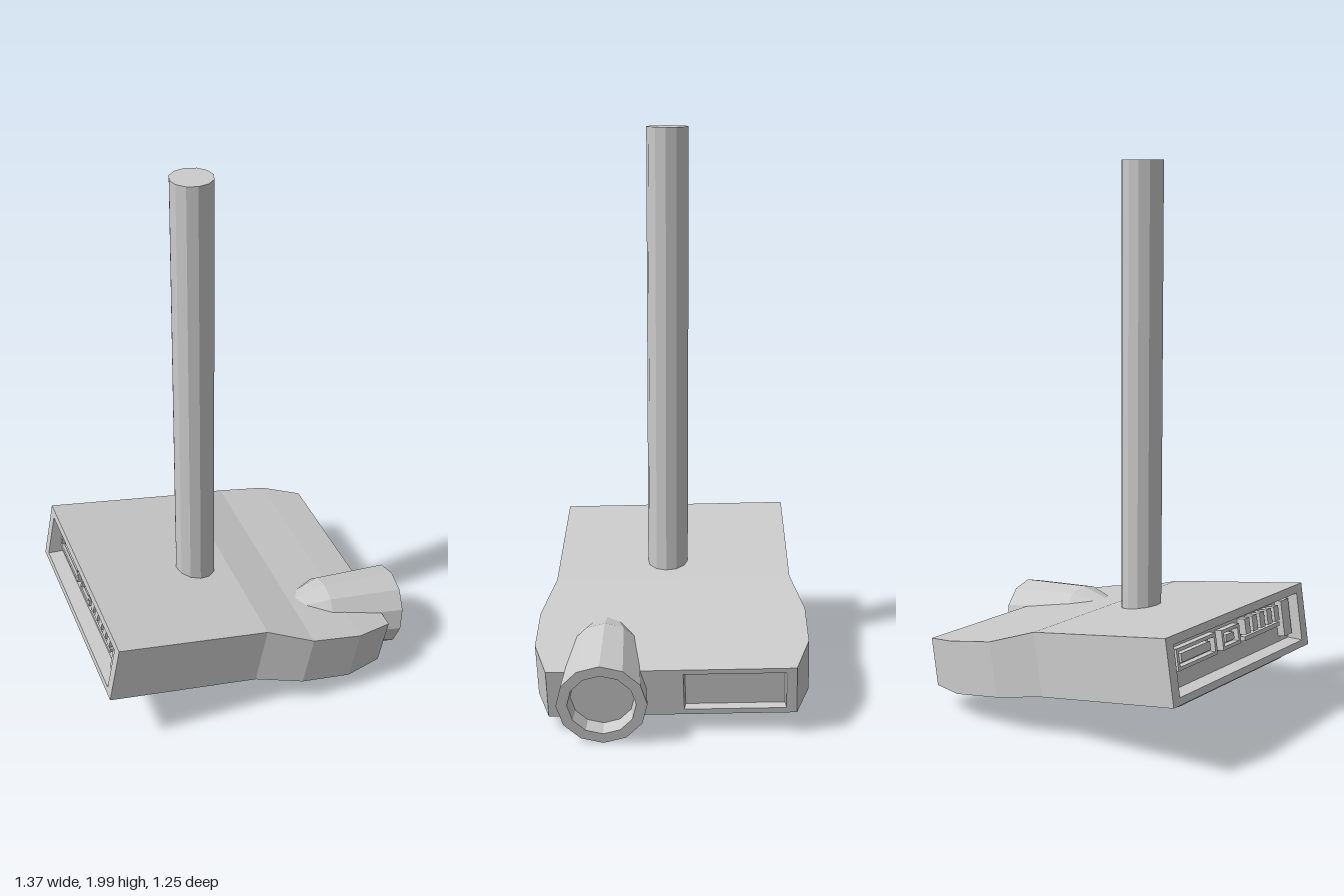
import * as THREE from 'three';

const grey = new THREE.MeshStandardMaterial({ color: 0xcccccc, flatShading: true });
const greyDouble = new THREE.MeshStandardMaterial({ color: 0xcccccc, flatShading: true, side: THREE.DoubleSide });

// Skin over rectangular sections [xMin, xMax, yMin, yMax, z], closed at both ends
function loftRects(sections) {
  const rings = sections.map(([a, b, c, d, z]) => [[a, c, z], [b, c, z], [b, d, z], [a, d, z]]);
  const pos = [];
  const quad = (p, q, r, s) => pos.push(...p, ...q, ...r, ...p, ...r, ...s);
  for (let i = 0; i < rings.length - 1; i++) {
    for (let j = 0; j < 4; j++) {
      const k = (j + 1) % 4;
      quad(rings[i][j], rings[i][k], rings[i + 1][k], rings[i + 1][j]);
    }
  }
  const [p, q, r, s] = rings[0];
  quad(s, r, q, p);
  quad(...rings[rings.length - 1]);
  const geo = new THREE.BufferGeometry();
  geo.setAttribute('position', new THREE.Float32BufferAttribute(pos, 3));
  geo.computeVertexNormals();
  return geo;
}

export function createModel() {
  const model = new THREE.Group();
  model.name = 'ceilingProjector';

  const add = (parent, name, geo, x = 0, y = 0, z = 0, material = grey) => {
    const mesh = new THREE.Mesh(geo, material);
    mesh.name = name;
    mesh.position.set(x, y, z);
    parent.add(mesh);
    return mesh;
  };
  const box = (parent, name, w, h, d, x, y, z) =>
    add(parent, name, new THREE.BoxGeometry(w, h, d), x, y, z);

  // Vertical mounting pole
  add(model, 'mountingPole', new THREE.CylinderGeometry(0.074, 0.074, 1.64, 12), -0.082, 1.18, -0.01);

  // Projector head: turned sideways and tipped forward, origin where the pole meets its top
  const head = new THREE.Group();
  head.name = 'projectorHead';
  const side = new THREE.Vector3(0.447, 0.029, -0.894).normalize();
  const front = new THREE.Vector3(0.879, -0.175, 0.434).normalize();
  const up = new THREE.Vector3().crossVectors(front, side).normalize();
  head.quaternion.setFromRotationMatrix(new THREE.Matrix4().makeBasis(side, up, front));
  head.position.set(-0.08, 0.407, -0.01);
  model.add(head);

  // Casing, from the floor of the rear recess to the floor of the front panel
  add(head, 'casing', loftRects([
    [-0.36, 0.4, -0.195, -0.035, -0.385],
    [-0.365, 0.405, -0.205, -0.03, -0.44],
    [-0.405, 0.445, -0.23, 0, -0.44],
    [-0.405, 0.445, -0.23, 0, 0.13],
    [-0.45, 0.49, -0.23, -0.03, 0.305],
    [-0.45, 0.49, -0.23, -0.035, 0.5],
    [-0.4, 0.44, -0.22, -0.042, 0.65],
    [0.06, 0.405, -0.2, -0.06, 0.65],
    [0.065, 0.4, -0.195, -0.065, 0.625],
  ]));

  // Lens barrel, tapering back into the casing, with a recessed glass
  const profile = [[0, 0.3], [0.07, 0.31], [0.13, 0.45], [0.152, 0.74], [0.115, 0.74], [0.108, 0.69], [0, 0.69]]
    .map(([r, z]) => new THREE.Vector2(r, z));
  const lens = new THREE.LatheGeometry(profile, 12);
  lens.rotateX(Math.PI / 2);
  add(head, 'lensBarrel', lens, -0.21, -0.112, 0, greyDouble);

  // Rear connectors inside the recess
  const ports = new THREE.Group();
  ports.name = 'rearPorts';
  head.add(ports);
  const framedPort = (name, x, w, h) => {
    for (const s of [-1, 1]) {
      box(ports, name + 'Rail', w, 0.012, 0.03, x, -0.095 + s * (h / 2 - 0.006), -0.398);
      box(ports, name + 'End', 0.012, h, 0.03, x + s * (w / 2 - 0.006), -0.095, -0.398);
    }
    box(ports, name + 'Core', w - 0.06, h - 0.045, 0.025, x, -0.095, -0.395);
  };
  framedPort('widePort', 0.245, 0.23, 0.075);
  framedPort('smallPort', 0.04, 0.11, 0.07);
  for (let i = 0; i < 5; i++) {
    box(ports, 'socket', 0.03, 0.055, 0.035, -0.06 - i * 0.048, -0.08, -0.4);
  }
  box(ports, 'socketStrip', 0.23, 0.015, 0.03, -0.155, -0.122, -0.398);
  box(ports, 'sidePort', 0.05, 0.13, 0.03, -0.32, -0.11, -0.398);

  // Underside plate with bevelled edges
  const plate = new THREE.BoxGeometry(0.74, 0.05, 0.49);
  const p = plate.attributes.position;
  for (let i = 0; i < p.count; i++) {
    if (p.getY(i) < 0) p.setXYZ(i, p.getX(i) * 0.87, p.getY(i), p.getZ(i) * 0.82);
  }
  plate.computeVertexNormals();
  add(head, 'undersidePlate', plate, 0, -0.24, -0.165);

  // Keypad on the plate: a cross, a column and a few loose keys
  const keys = new THREE.Group();
  keys.name = 'keypad';
  head.add(keys);
  const key = (x, z, w, d) => box(keys, 'key', w, 0.03, d, x, -0.275, z);
  key(-0.09, -0.17, 0.03, 0.15);
  key(-0.1, -0.17, 0.22, 0.03);
  for (let i = 0; i < 5; i++) key(0.02 - i * 0.06, -0.05, 0.035, 0.04);
  for (let i = 0; i < 3; i++) key(0.07 - i * 0.06, -0.27, 0.035, 0.05);
  key(0.07, -0.17, 0.035, 0.06);

  return model;
}
